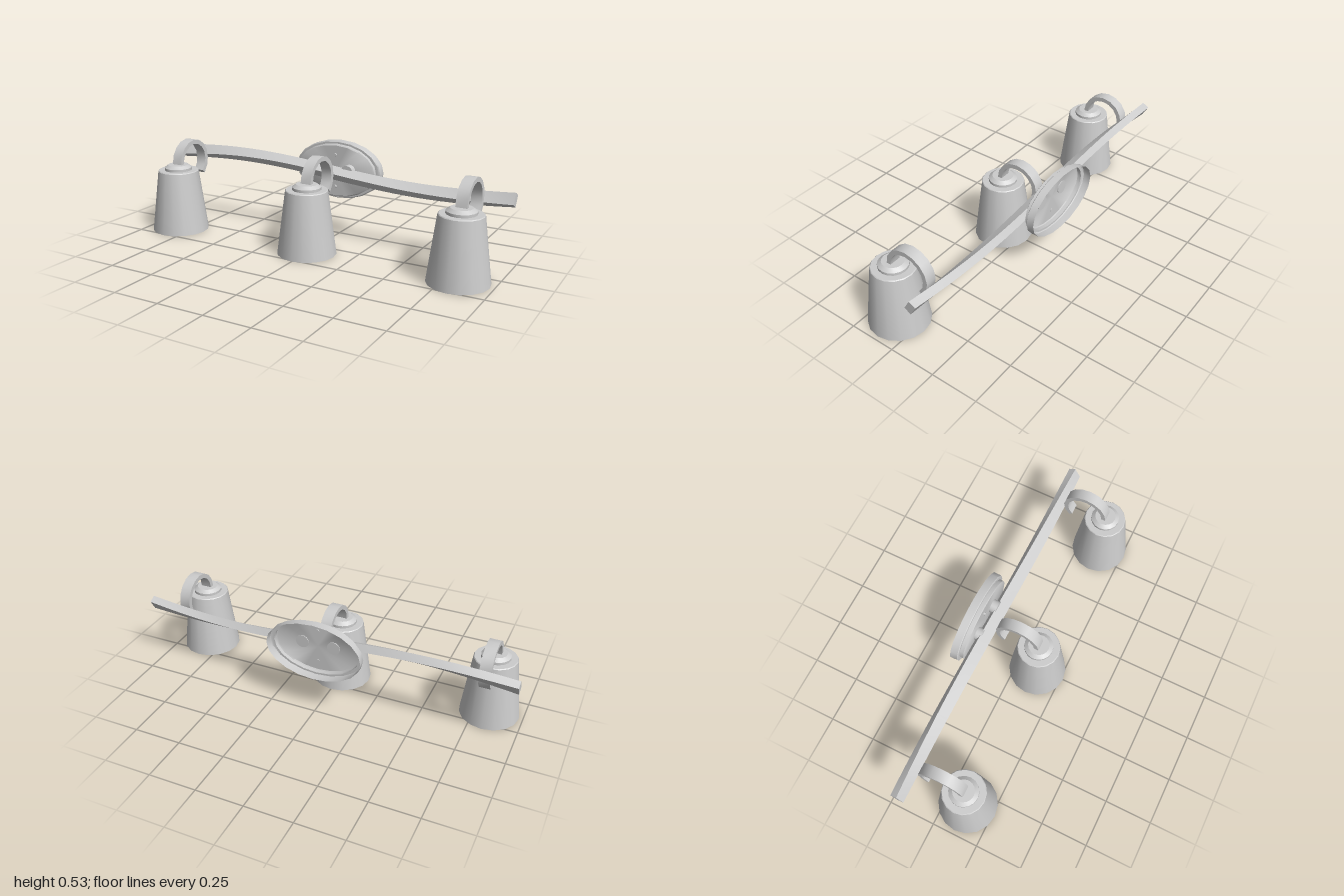
import * as THREE from 'three';
import { toCreasedNormals } from 'three/addons/utils/BufferGeometryUtils.js';

const material = new THREE.MeshStandardMaterial({ color: 0xcccccc, side: THREE.DoubleSide });

function part(name, geometry, x = 0, y = 0, z = 0) {
  const mesh = new THREE.Mesh(toCreasedNormals(geometry, 0.6), material);
  mesh.name = name;
  mesh.position.set(x, y, z);
  return mesh;
}

const lathe = (points, sides) =>
  new THREE.LatheGeometry(points.map(([r, y]) => new THREE.Vector2(r, y)), sides);

// Wavy bar: a rectangular section that leans more steeply towards both ends
function barGeometry() {
  const steps = 32, positions = [], index = [];
  for (let i = 0; i <= steps; i++) {
    const x = -1 + (2 * i) / steps;
    const cy = 0.371 - 0.033 * Math.sin((Math.PI * x) / 1.1);
    const tilt = THREE.MathUtils.degToRad(28 + 32 * x * x);
    const c = Math.cos(tilt), s = Math.sin(tilt);
    for (const [u, n] of [[1, 1], [-1, 1], [-1, -1], [1, -1]]) {
      const a = 0.031 * u, b = 0.02 * n;
      positions.push(x, cy + a * s + b * c, -0.153 - a * c + b * s);
    }
  }
  for (let i = 0; i < steps; i++) {
    for (let k = 0; k < 4; k++) {
      const a = i * 4 + k, b = i * 4 + ((k + 1) % 4);
      index.push(a, b, b + 4, a, b + 4, a + 4);
    }
  }
  const e = steps * 4;
  index.push(0, 2, 1, 0, 3, 2, e, e + 1, e + 2, e, e + 2, e + 3);
  const g = new THREE.BufferGeometry();
  g.setAttribute('position', new THREE.Float32BufferAttribute(positions, 3));
  g.setIndex(index);
  return g;
}

// Hooked flat arm, drawn in the side plane and extruded across x
function armGeometry() {
  const outer = [], inner = [];
  for (let i = 0; i <= 10; i++) {
    const a = (i * Math.PI) / 8;
    outer.push(new THREE.Vector2(-0.122 * Math.cos(a), 0.122 * Math.sin(a)));
    inner.unshift(new THREE.Vector2(-0.098 * Math.cos(a), 0.098 * Math.sin(a)));
  }
  const g = new THREE.ExtrudeGeometry(new THREE.Shape([...outer, ...inner]), {
    depth: 0.058, bevelEnabled: false,
  });
  return g.translate(0, 0, -0.029).rotateY(Math.PI / 2);
}

// One lamp: open shade, socket cap and arm
function lamp(x) {
  const group = new THREE.Group();
  group.name = 'lamp';
  group.position.x = x;
  const shade = lathe([
    [0.151, 0], [0.155, 0], [0.111, 0.337], [0.107, 0.341], [0, 0.341],
  ], 16);
  const shadeLining = lathe([[0.151, 0], [0.107, 0.334], [0, 0.334]], 16);
  const cap = lathe([[0.075, 0.34], [0.075, 0.355], [0.071, 0.358], [0.055, 0.37], [0, 0.37]], 16);
  group.add(
    part('shade', shade, 0, 0, 0.111),
    part('shadeLining', shadeLining, 0, 0, 0.111),
    part('socketCap', cap, 0, 0, 0.111),
    part('arm', armGeometry(), 0, 0.369, 0),
  );
  return group;
}

// Cylinder lying along z between two depths
function peg(name, radius, x, y, z0, z1, sides) {
  const g = new THREE.CylinderGeometry(radius, radius, z1 - z0, sides).rotateX(Math.PI / 2);
  return part(name, g, x, y, (z0 + z1) / 2);
}

export function createModel() {
  const model = new THREE.Group();
  model.name = 'wallLight';

  // Stepped oval wall plate, hollow at the back
  const plate = lathe([
    [0.158, 0], [0.158, 0.039], [0.154, 0.043], [0.144, 0.043],
    [0.144, 0.063], [0.139, 0.067], [0, 0.067],
  ], 20).rotateX(Math.PI / 2).scale(1.61, 1, 1);
  model.add(part('wallPlate', plate, 0, 0.369, -0.265));

  // Posts holding the bar, and plate screws
  for (const side of [-1, 1]) {
    model.add(peg('post', 0.035, side * 0.085, 0.378, -0.2, -0.163, 16));
    model.add(peg('screw', 0.009, 0, 0.37 + side * 0.088, -0.2, -0.187, 10));
    model.add(peg('postNut', 0.035, side * 0.085, 0.378, -0.202, -0.199, 16));
    model.add(peg('screwEnd', 0.009, 0, 0.37 + side * 0.088, -0.202, -0.199, 10));
  }

  model.add(part('bar', barGeometry()));
  for (const x of [-0.825, 0, 0.825]) model.add(lamp(x));
  return model;
}
